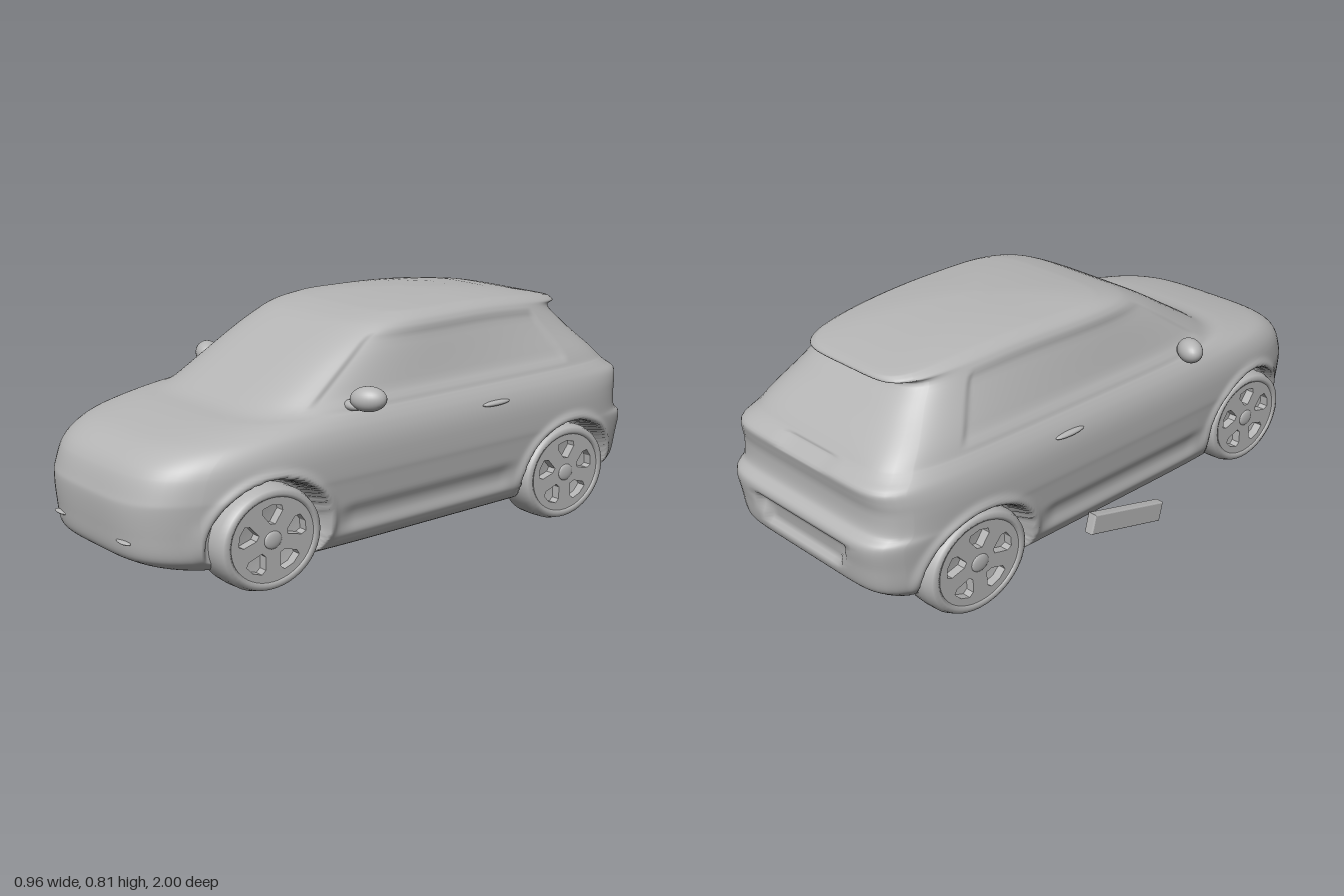
import * as THREE from 'three';

const paint = new THREE.MeshStandardMaterial({ color: 0xb5b5b5 });
paint.name = 'plain grey';

const { smoothstep, lerp } = THREE.MathUtils;
const band = (v, a, b, soft) => smoothstep(v, a, a + soft) * (1 - smoothstep(v, b - soft, b));

// wheel centres and their elliptical radii
const AXLES = [
  { name: 'front', z: 0.615, y: 0.207, rz: 0.188, ry: 0.162 },
  { name: 'rear', z: -0.642, y: 0.17, rz: 0.198, ry: 0.168 },
];

// body levels: height, front z, back z, half width
const LEVELS = [
  [0.11, 0.82, -0.86, 0.36], [0.125, 0.89, -0.91, 0.385], [0.15, 0.95, -0.95, 0.4],
  [0.18, 0.985, -0.98, 0.41], [0.25, 0.995, -0.992, 0.418], [0.325, 0.998, -1.0, 0.426],
  [0.36, 0.99, -0.966, 0.43], [0.42, 0.965, -0.96, 0.43], [0.46, 0.925, -0.968, 0.425],
  [0.492, 0.86, -0.972, 0.415], [0.515, 0.76, -0.942, 0.403], [0.53, 0.67, -0.925, 0.393],
  [0.545, 0.57, -0.912, 0.384], [0.6, 0.47, -0.865, 0.365], [0.7, 0.3, -0.79, 0.335],
  [0.755, 0.19, -0.745, 0.314], [0.775, 0.13, -0.79, 0.297], [0.79, 0.06, -0.782, 0.268],
];

function catmull(p0, p1, p2, p3, t) {
  const a = (p2 - p0) / 2, b = (p3 - p1) / 2, d = p1 - p2;
  return p1 + a * t + (-3 * d - 2 * a - b) * t * t + (2 * d + a + b) * t * t * t;
}

// horizontal rings from the underside centre to the roof centre
function bodyRings() {
  const rings = [], n = LEVELS.length, at = (i) => LEVELS[Math.min(n - 1, Math.max(0, i))];
  const scaled = ([y, f, b, w], s, yy, zc) => [yy, zc + (f - zc) * s, zc + (b - zc) * s, w * s];
  for (const s of [0.001, 0.5, 0.9, 0.985]) rings.push(scaled(at(0), s, 0.11, 0));
  for (let i = 0; i < n - 1; i++) {
    const steps = i < 7 ? 7 : 4;
    for (let k = 0; k < steps; k++) {
      rings.push([0, 1, 2, 3].map((c) => catmull(at(i - 1)[c], at(i)[c], at(i + 1)[c], at(i + 2)[c], k / steps)));
    }
  }
  for (const s of [1, 0.96, 0.9, 0.75, 0.55, 0.3, 0.001]) {
    rings.push(scaled(at(n - 1), s, 0.79 + 0.02 * (1 - s * s), -0.25));
  }
  return rings;
}

// pressings in the panels: arches, side glass, doors, bumper and roof slope
function press(x, y, z) {
  const side = Math.sign(x);
  let w = Math.abs(x);
  const up = smoothstep(y, 0.55, 0.78);
  w *= 1 - 0.1 * up * smoothstep(-z, 0, 0.8);
  if (w > 0.2 && y > 0.53) {
    const front = 0.43 - (y - 0.56) * 1.45, back = -0.68 + (y - 0.56) * 0.55;
    w -= 0.009 * band(y, 0.555, 0.745, 0.02) * band(z, back, front, 0.035);
  }
  if (w > 0.3) {
    w -= 0.012 * band(y, 0.16, 0.27, 0.05) * band(z, -0.42, 0.4, 0.1);
    for (const a of AXLES) {
      const d = Math.hypot((z - a.z) / (a.rz + 0.012), (y - a.y) / (a.ry + 0.014));
      w += 0.01 * Math.exp(-(((d - 1.1) / 0.08) ** 2)) * smoothstep(y, 0.13, 0.22);
      w = lerp(w, Math.min(w, 0.345), 1 - smoothstep(d, 0.98, 1.04));
    }
  }
  let zz = z;
  if (z < -0.8) {
    const dish = 0.24 - (0.3 - y) * 0.6;
    zz += 0.022 * band(y, 0.2, 0.31, 0.025) * (1 - smoothstep(w, dish - 0.03, dish));
    zz += 0.01 * band(y, 0.485, 0.53, 0.012) * (1 - smoothstep(w, 0.1, 0.12));
  }
  const tail = Math.max(0, -z - 0.25) / 0.53;
  return [side * w, y - 0.045 * tail * tail * up, zz];
}

function bodyGeometry() {
  // walk around a square, then round it into a plan outline
  const plan = [], LONG = 170, SHORT = 30;
  for (let i = 0; i < LONG; i++) plan.push([1, -1 + (2 * i) / LONG]);
  for (let i = 0; i < SHORT; i++) plan.push([1 - (2 * i) / SHORT, 1]);
  for (let i = 0; i < LONG; i++) plan.push([-1, 1 - (2 * i) / LONG]);
  for (let i = 0; i < SHORT; i++) plan.push([-1 + (2 * i) / SHORT, -1]);
  const rings = bodyRings(), pos = [], index = [], m = plan.length;
  rings.forEach(([y, front, back, half], r) => {
    const t = smoothstep(y, 0.45, 0.75), zc = lerp(0, -0.25, t);
    plan.forEach(([u, v], i) => {
      const n = v > 0 ? lerp(4, 5, t) : lerp(8, 5.5, t);
      const k = (Math.abs(u) ** n + Math.abs(v) ** n) ** (-1 / n);
      pos.push(...press(u * k * half, y, zc + v * k * (v > 0 ? front - zc : zc - back)));
      if (r === rings.length - 1) return;
      const a = r * m + i, b = r * m + ((i + 1) % m);
      index.push(a, a + m, b, b, a + m, b + m);
    });
  });
  const g = new THREE.BufferGeometry();
  g.setAttribute('position', new THREE.Float32BufferAttribute(pos, 3));
  g.setIndex(index);
  g.computeVertexNormals();
  return g;
}

function add(parent, name, geometry, p = [0, 0, 0], s = [1, 1, 1], r = [0, 0, 0]) {
  const mesh = new THREE.Mesh(geometry, paint);
  mesh.name = name;
  mesh.position.set(...p);
  mesh.scale.set(...s);
  mesh.rotation.set(...r);
  parent.add(mesh);
  return mesh;
}

// unit-radius wheel whose outer face looks along +z at z = 0
function makeWheel() {
  const wheel = new THREE.Group();
  const profile = [[0.01, -0.14], [0.8, -0.14], [0.93, -0.132], [0.99, -0.11], [1, -0.07], [0.99, -0.03],
    [0.94, -0.006], [0.86, 0], [0.8, -0.006], [0.78, -0.035], [0.01, -0.035]];
  const tyre = new THREE.LatheGeometry(profile.map(([x, y]) => new THREE.Vector2(x, y)), 56);
  add(wheel, 'tyre', tyre.rotateX(Math.PI / 2));
  // rim plate with five tapered openings
  const plate = new THREE.Shape().absarc(0, 0, 0.82, 0, Math.PI * 2);
  for (let i = 0; i < 5; i++) {
    const a = Math.PI / 2 + (i * Math.PI * 2) / 5;
    const pts = [[0.3, -0.16], [0.32, 0.16], [0.56, 0.36], [0.65, 0.28], [0.67, 0], [0.65, -0.28], [0.56, -0.36]]
      .map(([q, o]) => new THREE.Vector2(q * Math.cos(a + o), q * Math.sin(a + o)));
    plate.holes.push(new THREE.Path(pts));
  }
  const rim = new THREE.ExtrudeGeometry(plate, { depth: 0.03, bevelEnabled: false, curveSegments: 40 });
  add(wheel, 'rim', rim, [0, 0, -0.036]);
  add(wheel, 'hubCap', new THREE.SphereGeometry(1, 20, 12), [0, 0, -0.006], [0.17, 0.17, 0.008]);
  return wheel;
}

export function createModel() {
  const car = new THREE.Group();
  car.name = 'hatchbackCar';
  add(car, 'body', bodyGeometry());

  const ball = new THREE.SphereGeometry(1, 28, 18);
  for (const side of [1, -1]) {
    const label = side > 0 ? 'left' : 'right';
    for (const a of AXLES) {
      const wheel = makeWheel();
      wheel.name = `${label} ${a.name} wheel`;
      wheel.position.set(side * 0.412, a.y, a.z);
      wheel.rotation.y = (side * Math.PI) / 2;
      wheel.scale.set(a.rz, a.ry, 1);
      car.add(wheel);
    }
    // door mirror swept backwards on a short arm
    const mirror = new THREE.Group();
    mirror.name = `${label}Mirror`;
    add(mirror, 'mirrorShell', ball, [side * 0.426, 0.58, 0.268], [0.058, 0.039, 0.04], [0, side * 0.55, side * 0.06]);
    add(mirror, 'mirrorArm', ball, [side * 0.378, 0.555, 0.29], [0.04, 0.016, 0.022]);
    car.add(mirror);
    add(car, `${label}DoorHandle`, ball, [side * 0.421, 0.478, -0.28], [0.013, 0.009, 0.06]);
    add(car, `${label}BumperVent`, ball, [side * 0.18, 0.222, 0.984], [0.035, 0.006, 0.012]);
  }

  // loose step bar under the right-hand sill
  const step = new THREE.Shape();
  step.moveTo(-0.165, -0.03).lineTo(0.165, -0.03).lineTo(0.165, 0.03).lineTo(-0.165, 0.03);
  const bar = new THREE.ExtrudeGeometry(step, { depth: 0.022, bevelSize: 0.004, bevelThickness: 0.006, bevelSegments: 3 });
  add(car, 'sideStep', bar, [-0.428, 0.073, -0.015], [1, 1, 1], [0, Math.PI / 2, 0.25]);
  return car;
}
